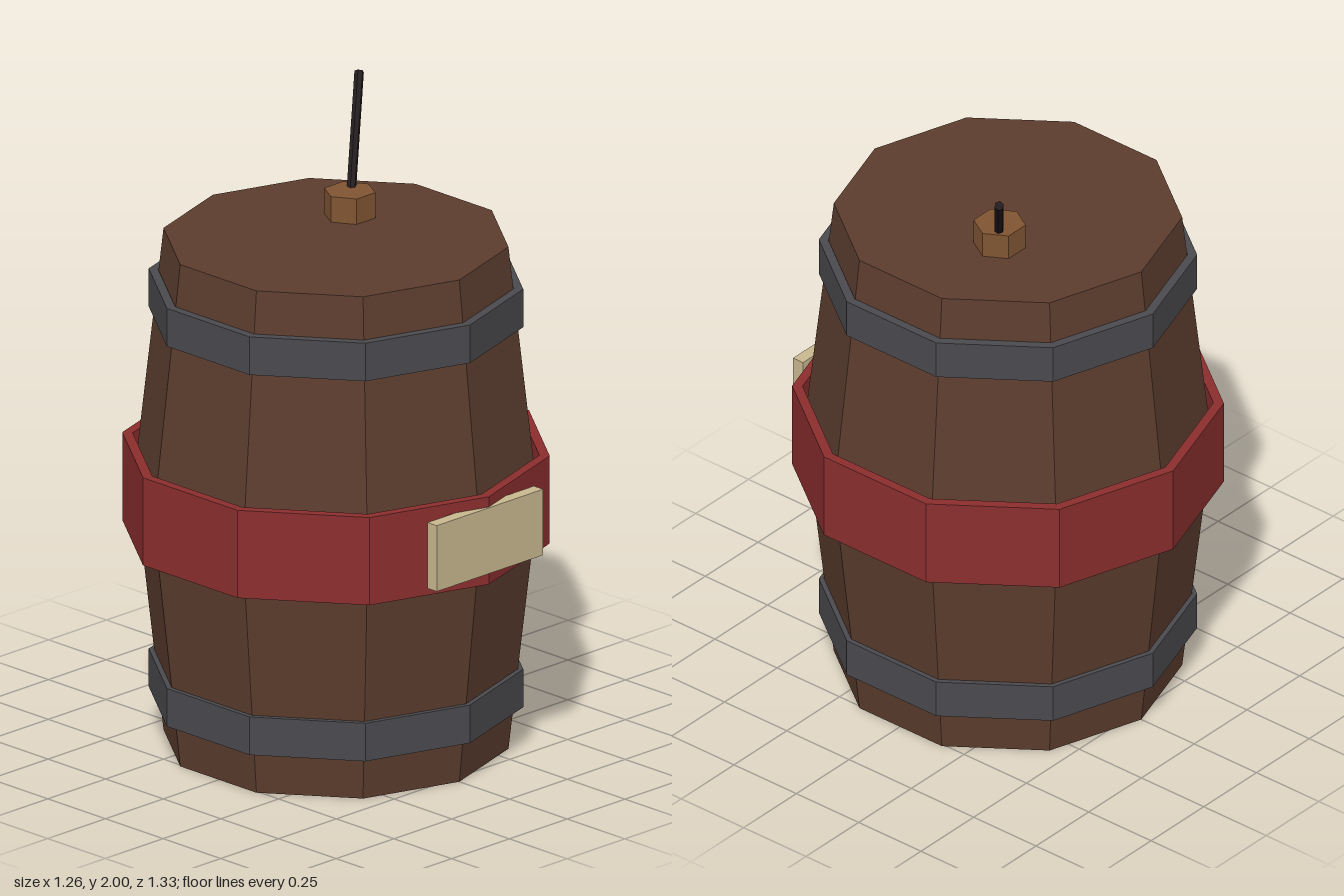
import * as THREE from 'three';

const paint = (name, color) => {
  const m = new THREE.MeshStandardMaterial({ color, flatShading: true });
  m.name = name;
  return m;
};

export function createModel() {
  const wood = paint('brown wood', 0x5c3d2e);
  const iron = paint('dark iron', 0x4a4a4f);
  const red = paint('red band', 0x8b2e2e);
  const cork = paint('bung wood', 0x805533);
  const cord = paint('black cord', 0x231c1e);
  const cream = paint('cream label', 0xc8b88f);

  const model = new THREE.Group();
  model.name = 'barrel';
  const add = (name, geometry, material, x = 0, y = 0, z = 0) => {
    const mesh = new THREE.Mesh(geometry, material);
    mesh.name = name;
    mesh.position.set(x, y, z);
    model.add(mesh);
    return mesh;
  };

  // Ten-sided turned shapes, with a corner facing the front
  const SIDES = 10, Z = -0.003;
  const turn = (pts) => new THREE.LatheGeometry(pts.map(([r, y]) => new THREE.Vector2(r, y)), SIDES);
  const ring = (inner, outer, y0, y1) =>
    turn([[outer, y0], [outer, y1], [inner, y1], [inner, y0], [outer, y0]]);

  // Body, widest in the middle
  add('body', turn([[0, 0], [0.535, 0], [0.627, 0.82], [0.535, 1.637], [0, 1.637]]), wood, 0, 0, Z);

  // Hoops and the wide middle band
  add('lowerHoop', ring(0.552, 0.581, 0.138, 0.262), iron, 0, 0, Z);
  add('upperHoop', ring(0.552, 0.581, 1.378, 1.502), iron, 0, 0, Z);
  add('middleBand', ring(0.631, 0.663, 0.677, 0.963), red, 0, 0, Z);

  // Front label
  add('label', new THREE.BoxGeometry(0.46, 0.215, 0.04), cream, 0, 0.822, 0.645);

  // Six-sided bung on the lid
  const bung = add('bung', new THREE.CylinderGeometry(0.081, 0.081, 0.1, 6), cork, 0.166, 1.67, -0.11);
  bung.rotation.y = Math.PI / 6;

  // Slanted fuse
  const from = new THREE.Vector3(0.172, 1.685, -0.112);
  const to = new THREE.Vector3(0.412, 1.99, -0.316);
  const dir = to.clone().sub(from);
  const fuse = add('fuse', new THREE.CylinderGeometry(0.015, 0.015, dir.length(), 6), cord);
  fuse.position.copy(from).add(to).multiplyScalar(0.5);
  fuse.quaternion.setFromUnitVectors(new THREE.Vector3(0, 1, 0), dir.normalize());

  return model;
}
